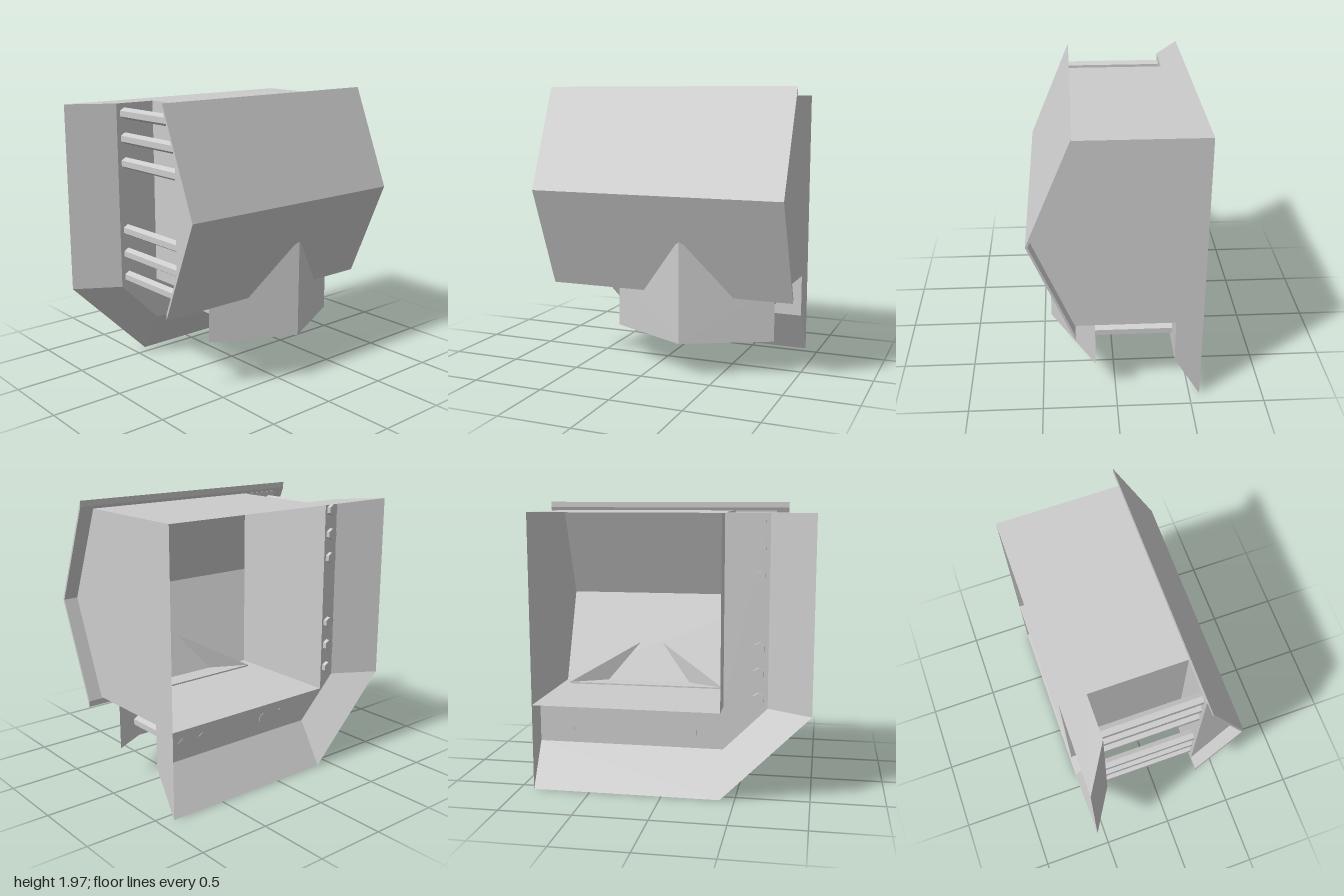
import * as THREE from 'three';

const material = new THREE.MeshStandardMaterial({
  color: 0xcccccc, flatShading: true, side: THREE.DoubleSide,
});

// main planes of the housing
const BACK = -0.57, FLANGE = -0.39, FRONT = 0.27, RIDGE = 0.55;
const TOP = 1.91, FLOOR = 0.6, MID = 1.26;
const OUTER = 0.9, INNER = -0.4, EDGE = -0.7;

export function createModel() {
  const group = new THREE.Group();

  const add = (parent, name, geometry) => {
    const mesh = new THREE.Mesh(geometry, material);
    mesh.name = name;
    parent.add(mesh);
    return mesh;
  };

  // flat sheet from a 2D outline; place() maps each outline point into space
  const sheet = (parent, name, outline, place) => {
    const shape = new THREE.Shape(outline.map(([u, v]) => new THREE.Vector2(u, v)));
    const geometry = new THREE.ShapeGeometry(shape);
    const pos = geometry.attributes.position;
    for (let i = 0; i < pos.count; i++) {
      pos.setXYZ(i, ...place(pos.getX(i), pos.getY(i)));
    }
    geometry.computeVertexNormals();
    return add(parent, name, geometry);
  };
  const atX = (x) => (z, y) => [x, y, z];
  const atY = (y) => (x, z) => [x, y, z];
  const atZ = (z) => (x, y) => [x, y, z];

  // open-backed housing
  const housing = new THREE.Group();
  housing.name = 'housing';
  group.add(housing);
  sheet(housing, 'roof', [
    [-1, BACK], [OUTER, BACK], [OUTER, 0.29], [EDGE, 0.29], [EDGE, FRONT],
    [INNER, FRONT], [INNER, FLANGE], [EDGE, FLANGE],
  ], atY(TOP));
  sheet(housing, 'floor', [
    [INNER, BACK], [OUTER, BACK], [OUTER, 0.29], [EDGE, 0.29], [EDGE, FRONT], [INNER, FRONT],
  ], atY(FLOOR));
  sheet(housing, 'outerWall', [
    [BACK, 0], [FLANGE, 0.3], [FLANGE, FLOOR], [0.29, FLOOR], [RIDGE, MID], [0.29, TOP], [BACK, TOP],
  ], atX(OUTER));
  sheet(housing, 'innerWall', [
    [BACK, FLOOR], [FRONT, FLOOR], [FRONT, TOP], [BACK, TOP],
  ], atX(INNER));
  sheet(housing, 'sideBackPlate', [
    [EDGE, FLOOR], [INNER, FLOOR], [INNER, TOP], [EDGE, TOP],
  ], atZ(FRONT));
  sheet(housing, 'sideEndCap', [
    [FRONT, FLOOR], [0.29, FLOOR], [RIDGE, MID], [0.29, TOP], [FRONT, TOP],
  ], atX(EDGE));

  // recessed flange with a sloping rim along the side and bottom
  const flange = new THREE.Group();
  flange.name = 'flange';
  group.add(flange);
  const outerLine = [[-1, TOP], [-1, FLOOR], [INNER, 0], [OUTER, 0]];
  const innerLine = [[EDGE, TOP], [EDGE, FLOOR], [INNER, 0.3], [OUTER, 0.3]];
  sheet(flange, 'flangePlate', [...innerLine, [OUTER, FLOOR], [INNER, FLOOR], [INNER, TOP]], atZ(FLANGE));
  for (let i = 0; i < 3; i++) {
    const corners = [
      [...outerLine[i], BACK], [...outerLine[i + 1], BACK],
      [...innerLine[i + 1], FLANGE], [...innerLine[i], FLANGE],
    ];
    const rim = new THREE.BufferGeometry();
    rim.setAttribute('position', new THREE.Float32BufferAttribute(
      [0, 1, 2, 0, 2, 3].flatMap((k) => corners[k]), 3));
    rim.computeVertexNormals();
    add(flange, 'flangeRim', rim);
  }

  // bent front shield, extruded along x
  const profile = new THREE.Shape([
    [0.27, 1.97], [0.565, 1.26], [0.27, 0.55], [0.27, 0.59], [0.549, 1.26], [0.27, 1.93],
  ].map(([z, y]) => new THREE.Vector2(-z, y)));
  const shield = new THREE.ExtrudeGeometry(profile, { depth: 1.79, bevelEnabled: false });
  shield.rotateY(Math.PI / 2);
  shield.translate(-0.79, 0, 0);
  add(group, 'frontShield', shield);

  // wedge-shaped bow below the shield
  const bow = new THREE.Group();
  bow.name = 'bow';
  group.add(bow);
  const cx = 0.255, half = 0.585, bowBack = 0.14, bowTip = 0.44;
  for (const side of [-1, 1]) {
    sheet(bow, 'bowWall', [[0, 0.24], [1, 0.24], [1, 0.61], [0, 0.94]],
      (t, y) => [cx + side * half * t, y, bowTip + (bowBack - bowTip) * t]);
  }
  const plan = [[cx - half, bowBack], [cx + half, bowBack], [cx, bowTip]];
  sheet(bow, 'bowBottom', plan, atY(0.3));
  sheet(bow, 'bowTop', plan, atY(0.61));
  sheet(bow, 'bowBackWall', [
    [cx - half, 0.3], [cx + half, 0.3], [cx + half, 0.61], [cx - half, 0.61],
  ], atZ(bowBack));

  // hexagonal rods joining the flange to the shield and the bow
  const rod = (name, x, y, z0, z1) => {
    const geometry = new THREE.CylinderGeometry(0.04, 0.04, z1 - z0, 6);
    geometry.rotateX(Math.PI / 2);
    add(group, name, geometry).position.set(x, y, (z0 + z1) / 2);
  };
  for (const side of [-1, 1]) {
    for (const d of [0.24, 0.413, 0.585]) rod('sideRod', -0.637, 1.255 + side * d, FLANGE - 0.03, FRONT);
    for (const d of [0.273, 0.435]) rod('bottomRod', cx + side * d, 0.41, FLANGE - 0.003, bowBack);
  }

  return group;
}
